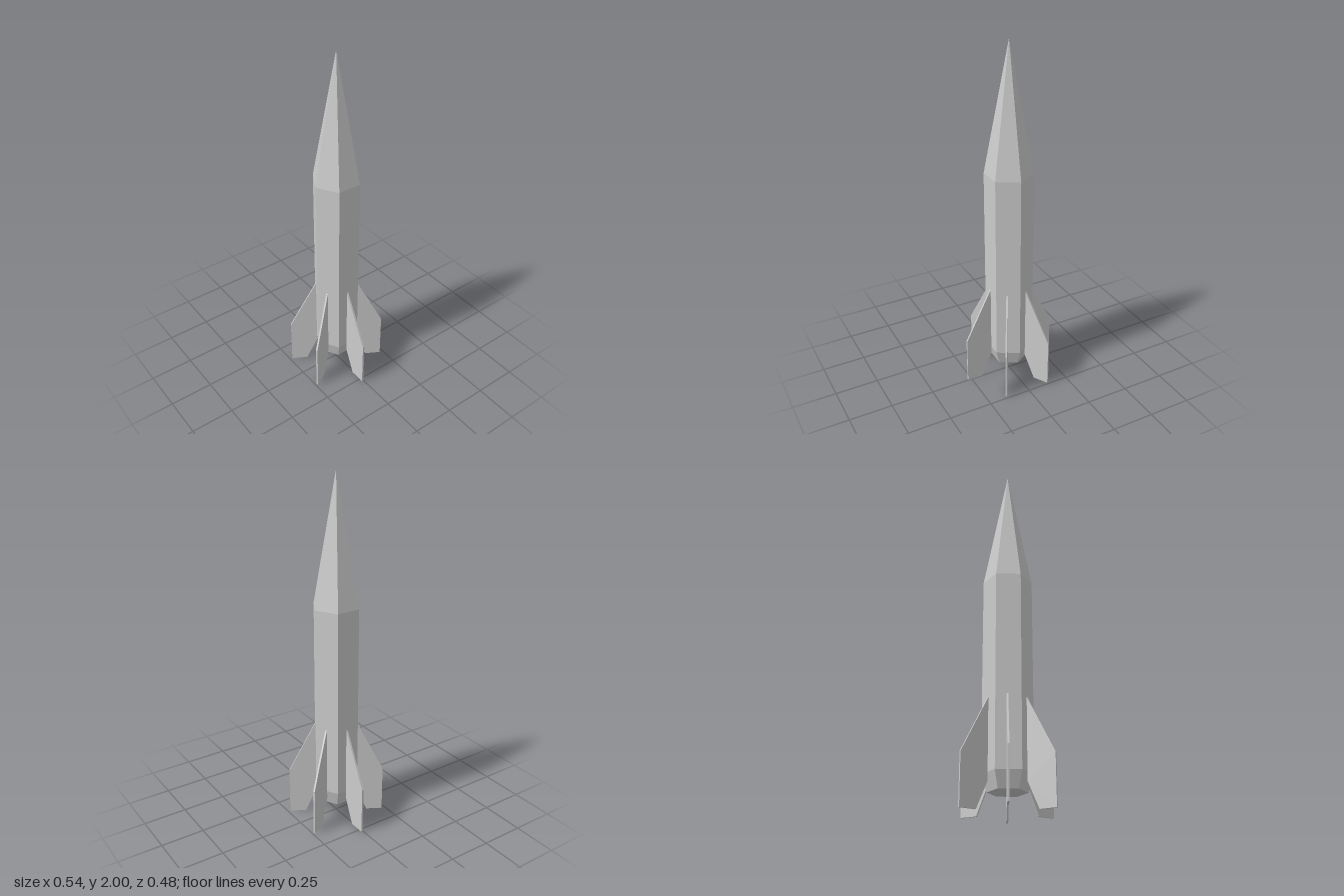
import * as THREE from 'three';

export function createModel() {
  const model = new THREE.Group();
  const material = new THREE.MeshStandardMaterial({ color: 0xcccccc, flatShading: true });

  const add = (name, geometry) => {
    const mesh = new THREE.Mesh(geometry, material);
    mesh.name = name;
    model.add(mesh);
    return mesh;
  };

  // Six-sided hull: corners on the z axis, flat faces on the x axis
  const section = (name, profile) =>
    add(name, new THREE.LatheGeometry(profile.map(([r, y]) => new THREE.Vector2(r, y)), 6));
  section('tail', [[0, 0.1], [0.105, 0.1], [0.135, 0.19]]);
  section('body', [[0.135, 0.19], [0.135, 1.28]]);
  section('noseCone', [[0.135, 1.28], [0, 2]]);

  // Swept fins, one on each hull face, set to one side of the face's centre line
  const outline = new THREE.Shape(
    [[0.116, 0.145], [0.18, 0], [0.272, 0], [0.272, 0.275], [0.116, 0.585]].map(
      ([x, y]) => new THREE.Vector2(x, y)
    )
  );
  const finGeometry = new THREE.ExtrudeGeometry(outline, { depth: 0.01, bevelEnabled: false });
  finGeometry.translate(0, 0, 0.001);
  for (let i = 0; i < 6; i++) {
    add(`fin${i + 1}`, finGeometry).rotation.y = (-i * Math.PI) / 3;
  }

  return model;
}
